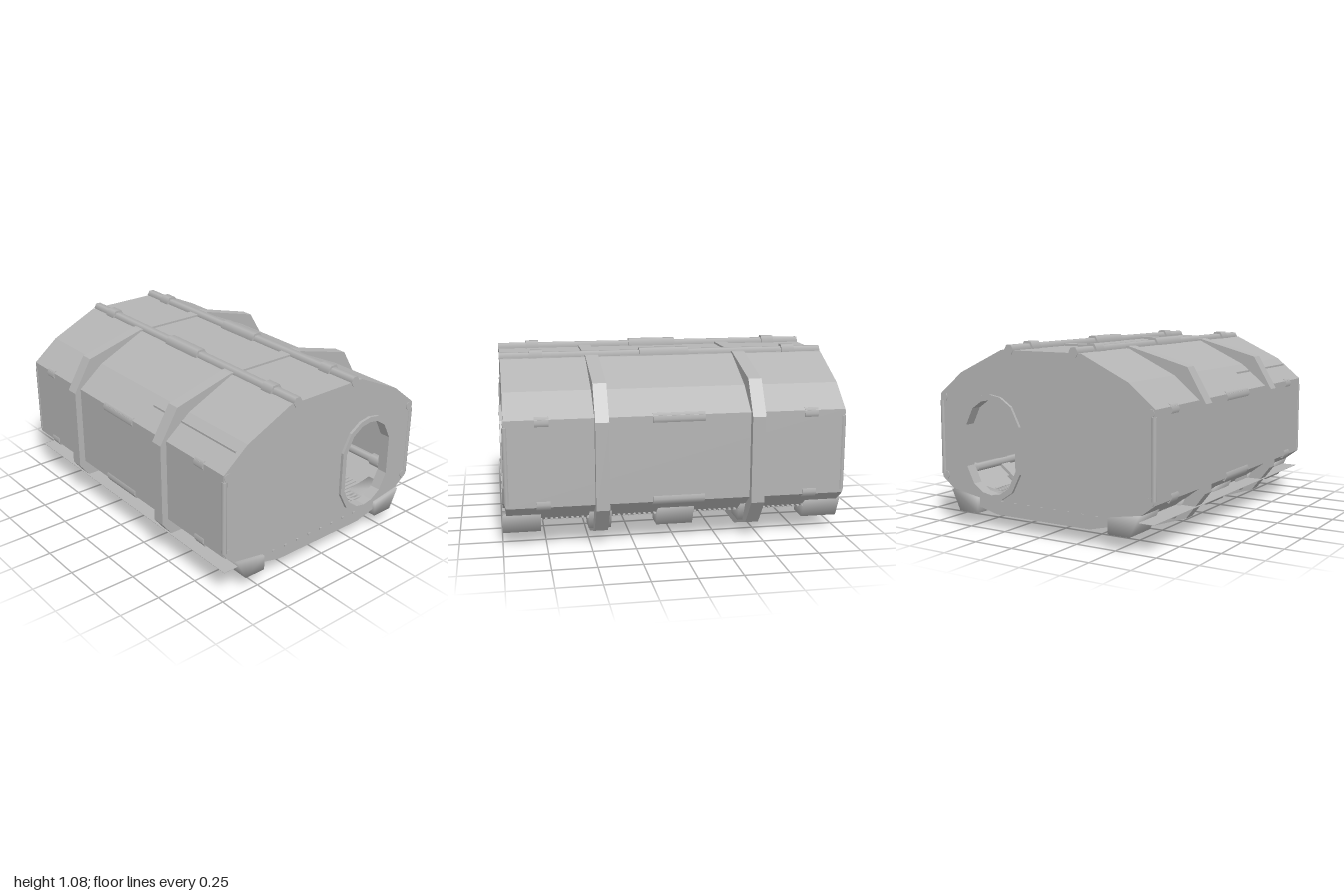
import * as THREE from 'three';
import { mergeVertices } from 'three/addons/utils/BufferGeometryUtils.js';

const gray = new THREE.MeshStandardMaterial({ color: 0xb4b4b4, side: THREE.DoubleSide });
gray.name = 'hull gray';

// Right half of each outline, bottom to top; mirrored to a closed loop
const mirrored = (half) => [...half, ...half.slice().reverse().map(([x, y]) => [-x, y])];
const HULL = mirrored([[0.32, 0.09], [0.57, 0.15], [0.73, 0.27], [0.73, 0.77], [0.57, 0.9], [0.27, 1.04]]);
const RIB = mirrored([[0.39, 0.003], [0.65, 0.09], [0.77, 0.245], [0.77, 0.75], [0.65, 0.95], [0.27, 1.052]]);
const scaled = (pts, cx, cy, sx, sy) => pts.map(([x, y]) => [cx + (x - cx) * sx, cy + (y - cy) * sy]);

// Twelve-sided hatch outline
function hatch(halfW, halfH) {
  const q = [[1, 0.44], [0.72, 0.8], [0.35, 0.96], [0, 1]];
  const half = [...q.slice().reverse().map(([x, y]) => [x, -y]), ...q];
  const loop = [...half, ...half.slice(1, -1).reverse().map(([x, y]) => [-x, y])];
  return loop.map(([x, y]) => [0.348 + x * halfW, 0.478 + y * halfH]);
}

const toVec = (pts) => pts.map(([x, y]) => new THREE.Vector2(x, y));

// Extrude an outline with an optional hole from z0 to z1
function slab(outline, hole, z0, z1) {
  const shape = new THREE.Shape(toVec(outline));
  if (hole) shape.holes.push(new THREE.Path(toVec(hole)));
  const g = new THREE.ExtrudeGeometry(shape, { depth: z1 - z0, bevelEnabled: false });
  return g.translate(0, 0, z0);
}

export function createModel() {
  const model = new THREE.Group();
  model.name = 'habitatModule';
  const add = (name, geo, x = 0, y = 0, z = 0) => {
    const m = new THREE.Mesh(geo, gray);
    m.name = name;
    m.position.set(x, y, z);
    model.add(m);
    return m;
  };

  // Hollow hull and its two end walls with hatch openings
  add('hullShell', slab(HULL, scaled(HULL, 0, 0.565, 0.985, 0.98), -0.977, 0.977));
  for (const s of [-1, 1]) {
    const range = (a, b) => (s > 0 ? [a, b] : [-b, -a]);
    add('endWall', slab(HULL, hatch(0.185, 0.285), ...range(0.96, 0.978)));
    add('hatchFrame', slab(hatch(0.208, 0.307), hatch(0.178, 0.275), ...range(0.93, 0.995)));
    // Upright bars at the end corners
    for (const side of [-1, 1]) {
      add('cornerBar', new THREE.CylinderGeometry(0.015, 0.015, 0.44, 8), side * 0.72, 0.51, s * 0.972);
    }
  }

  // Outer ribs
  for (const z of [-0.455, 0.44]) {
    add('rib', slab(RIB, scaled(HULL, 0, 0.565, 0.96, 0.95), z - 0.039, z + 0.039));
  }

  // Hexagonal rails with collars
  const tube = (r, len) => new THREE.CylinderGeometry(r, r, len, 6, 1, false, Math.PI / 2).rotateX(Math.PI / 2);
  const rails = [[-0.225, 1.043], [0.213, 1.043]];
  for (const side of [-1, 1]) rails.push([side * 0.702, 0.75], [side * 0.702, 0.285]);
  for (const [x, y] of rails) {
    const upper = y > 1;
    add('rail', tube(upper ? 0.031 : 0.026, 1.965), x, y, 0);
    for (const [z, len] of [[-0.775, 0.08], [0, 0.3], [0.77, 0.08]]) {
      add('railCollar', tube(upper ? 0.045 : 0.039, len), x, y, z);
    }
  }

  // Rounded feet along both lower edges
  const FOOT = [[0.45, 0.085], [0.585, 0.085], [0.645, 0.208], [0.45, 0.175]];
  for (const side of [-1, 1]) {
    for (const [z, len] of [[-0.89, 0.215], [-0.45, 0.13], [0, 0.215], [0.44, 0.13], [0.89, 0.215]]) {
      const pts = FOOT.map(([x, y]) => [x * side, y]);
      let g = slab(pts, null, -len / 2, len / 2);
      g.deleteAttribute('normal');
      g.deleteAttribute('uv');
      g = mergeVertices(g);
      g.computeVertexNormals();
      add('foot', g, 0, 0, z);
    }
  }

  // Floor grating, its bar ends showing through the hull
  for (let i = -4; i <= 4; i++) {
    add('floorBeam', new THREE.BoxGeometry(0.015, 0.012, 1.97), i * 0.0925, 0.165, 0);
  }
  for (let i = -31; i <= 31; i++) {
    add('floorSlat', new THREE.BoxGeometry(1.21, 0.008, 0.014), 0.01, 0.163, i * 0.03);
  }

  // Side ledge and inner partition
  add('sideLedge', new THREE.BoxGeometry(0.3, 0.002, 1.95), -0.57, 0.165, 0);
  add('innerPartition', new THREE.BoxGeometry(0.008, 0.695, 0.73), -0.622, 0.518, 0.58);

  return model;
}
